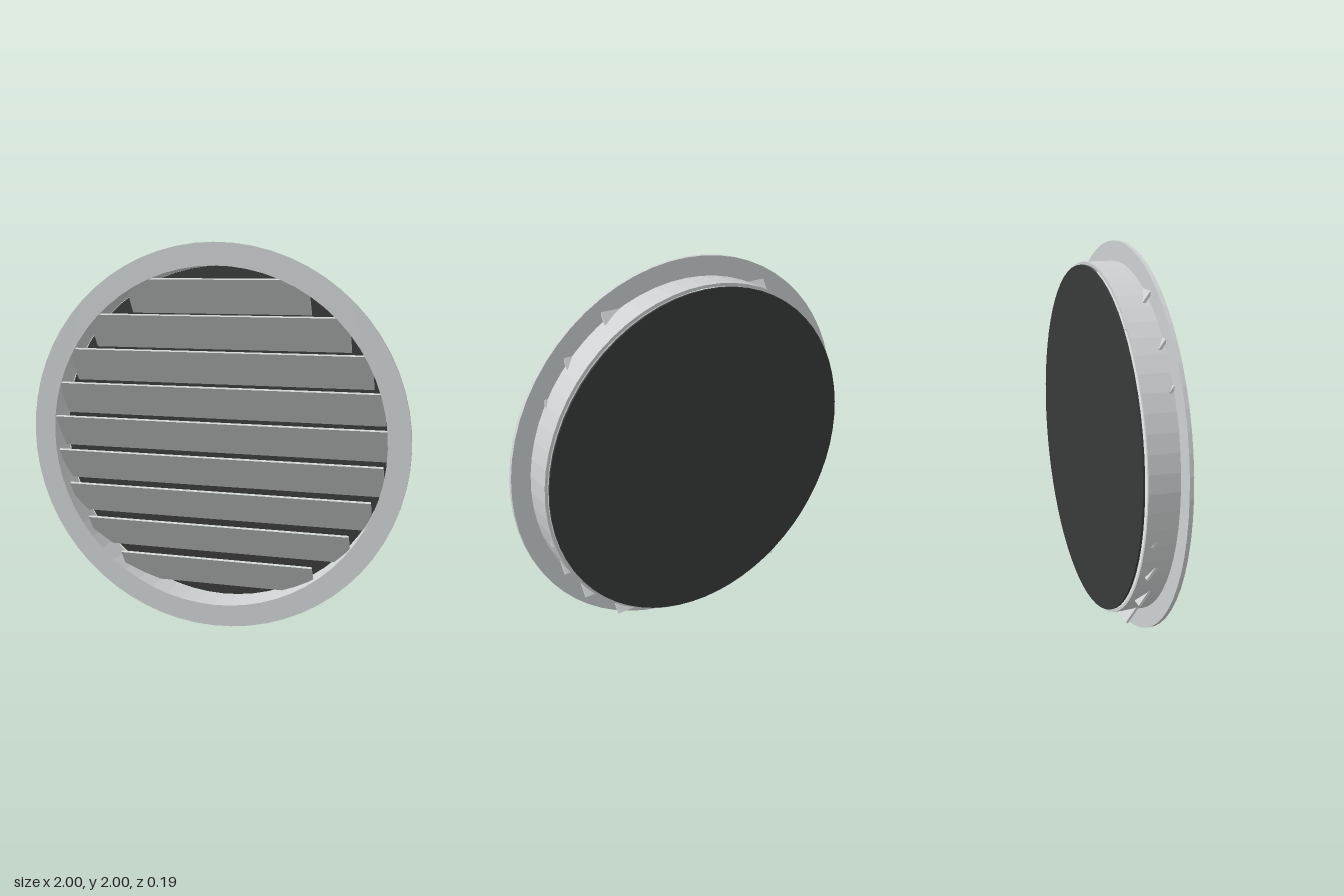
import * as THREE from 'three';

const metal = new THREE.MeshStandardMaterial({ color: 0xcdd1d1 });
metal.name = 'silver metal';
const mesh = new THREE.MeshStandardMaterial({ color: 0x383939 });
mesh.name = 'dark screen';

// Flat ring facing +z, from zBack to zFront
function ring(name, outer, inner, zBack, zFront) {
  const shape = new THREE.Shape().absarc(0, 0, outer, 0, Math.PI * 2, false);
  shape.holes.push(new THREE.Path().absarc(0, 0, inner, 0, Math.PI * 2, true));
  const geometry = new THREE.ExtrudeGeometry(shape, {
    depth: zFront - zBack, bevelEnabled: false, curveSegments: 32,
  });
  const part = new THREE.Mesh(geometry, metal);
  part.name = name;
  part.position.set(0, 1, zBack);
  return part;
}

export function createModel() {
  const model = new THREE.Group();
  model.name = 'roundLouverVent';

  // Front flange and the duct sleeve behind it
  model.add(ring('flange', 1, 0.885, 0.075, 0.095));
  model.add(ring('sleeve', 0.9, 0.885, -0.075, 0.075));

  // Nine slats with their top edges leaning forward, cut to the round opening
  const slats = new THREE.Group();
  slats.name = 'slats';
  const spacing = 0.182;
  for (let i = -4; i <= 4; i++) {
    const y = i * spacing;
    const halfWidth = Math.sqrt(0.882 ** 2 - (y + 0.015) ** 2);
    const slat = new THREE.Mesh(new THREE.BoxGeometry(2 * halfWidth, 0.214, 0.012), metal);
    slat.name = `slat${i + 5}`;
    slat.position.set(0, 1.003 + y, 0.022);
    slat.rotation.x = THREE.MathUtils.degToRad(35);
    slats.add(slat);
  }
  model.add(slats);

  // Thin dark disc just behind the sleeve
  const screen = new THREE.Mesh(new THREE.CylinderGeometry(0.885, 0.885, 0.01, 64), mesh);
  screen.name = 'backScreen';
  screen.rotation.x = Math.PI / 2;
  screen.position.set(0, 1, -0.09);
  model.add(screen);

  return model;
}
